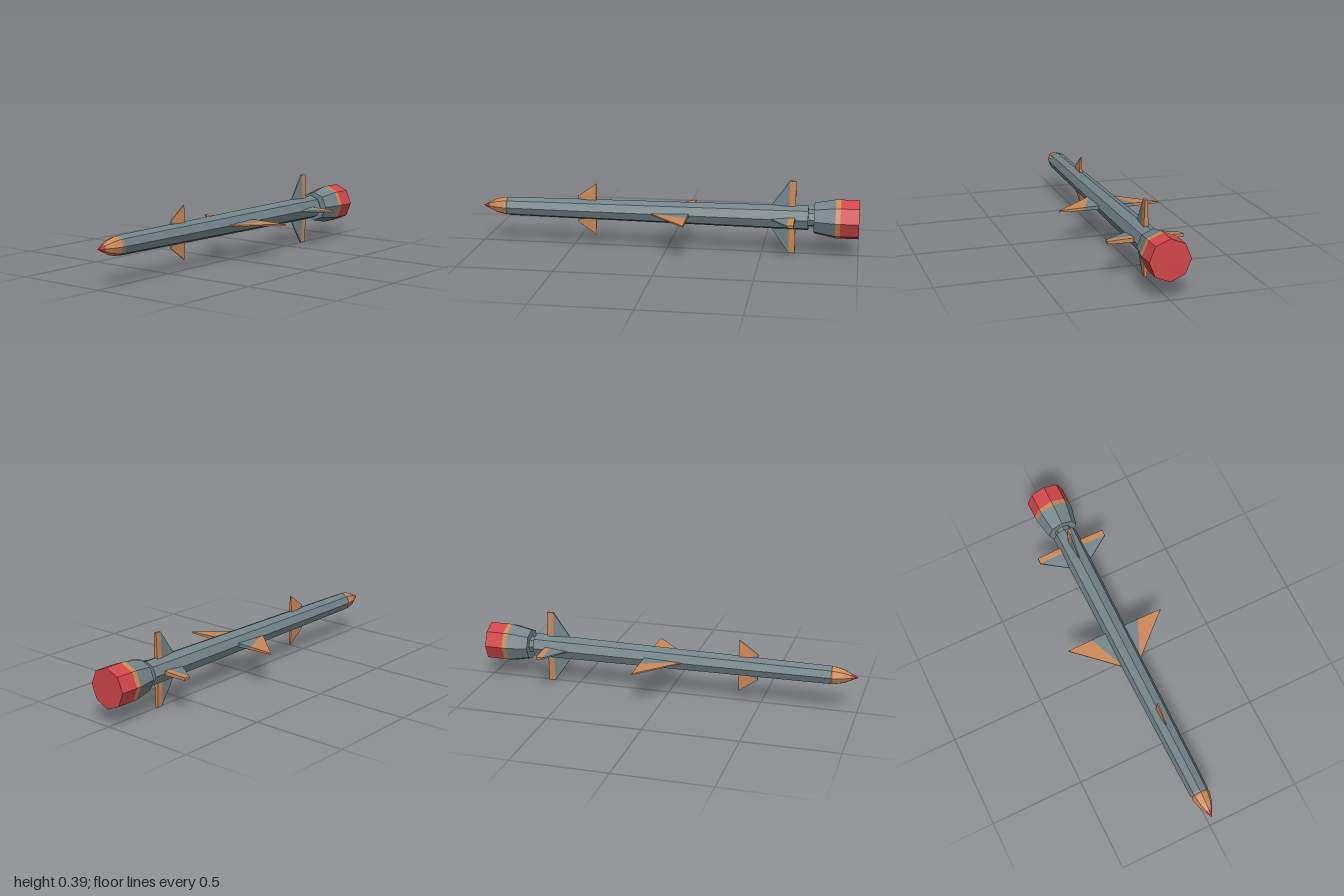
import * as THREE from 'three';

const material = (color) => new THREE.MeshStandardMaterial({ color, flatShading: true });
const grey = material(0x74858a);
const orange = material(0xcb8957);
const red = material(0xd2474a);

// Octagonal section along z; profile is [z, radius] from back to front.
function section(name, mat, profile) {
  const points = profile.map(([z, r]) => new THREE.Vector2(r, z));
  const geometry = new THREE.LatheGeometry(points, 8).rotateX(Math.PI / 2);
  const mesh = new THREE.Mesh(geometry, mat);
  mesh.name = name;
  return mesh;
}

// Thin tapered plate; each corner is [z, radius, half thickness],
// listed counter-clockwise as seen from +x.
function plate(name, mat, corners) {
  const pos = [];
  const put = (i, side) => {
    const [z, r, t] = corners[i];
    pos.push(side * t, r, z);
  };
  const n = corners.length;
  for (let i = 1; i < n - 1; i++) {
    [0, i, i + 1].forEach((k) => put(k, 1));
    [0, i + 1, i].forEach((k) => put(k, -1));
  }
  for (let i = 0; i < n; i++) {
    const j = (i + 1) % n;
    put(i, -1); put(j, -1); put(j, 1);
    put(i, -1); put(j, 1); put(i, 1);
  }
  const geometry = new THREE.BufferGeometry();
  geometry.setAttribute('position', new THREE.Float32BufferAttribute(pos, 3));
  geometry.computeVertexNormals();
  const mesh = new THREE.Mesh(geometry, mat);
  mesh.name = name;
  return mesh;
}

// A fin has a grey root and an orange outer part, turned around the body axis.
function fin(name, angle, root, tip) {
  const group = new THREE.Group();
  group.name = name;
  group.add(plate(name + 'Root', grey, root), plate(name + 'Tip', orange, tip));
  group.rotation.z = angle;
  return group;
}

export function createModel() {
  const model = new THREE.Group();
  model.name = 'missile';

  // Body, from nose to tail
  model.add(
    section('noseTip', red, [[0.96, 0.02], [1, 0]]),
    section('noseCone', orange, [[0.865, 0.046], [0.875, 0.049], [0.925, 0.037], [0.96, 0.02]]),
    section('body', grey, [[-0.74, 0], [-0.74, 0.066], [0.855, 0.05], [0.865, 0.046], [0.865, 0]]),
    section('neck', grey, [[-0.78, 0.045], [-0.73, 0.045]]),
    section('booster', grey, [[-0.88, 0.104], [-0.77, 0.082], [-0.77, 0]]),
    section('boosterBand', orange, [[-0.905, 0.104], [-0.88, 0.104]]),
    section('boosterEnd', red, [[-1, 0], [-1, 0.104], [-0.905, 0.104]]),
  );

  // Two small vertical fins near the nose
  for (const angle of [0, Math.PI]) {
    model.add(fin('frontFin', angle,
      [[0.48, 0.04, 0.003], [0.41, 0.04, 0.008], [0.48, 0.07, 0.002]],
      [[0.41, 0.04, 0.008], [0.38, 0.04, 0.009], [0.38, 0.14, 0.003], [0.48, 0.07, 0.002]]));
  }

  // Two wide swept wings at mid-length
  for (const angle of [-Math.PI / 2, Math.PI / 2]) {
    model.add(fin('wing', angle,
      [[0.09, 0.045, 0.003], [-0.12, 0.045, 0.011], [-0.12, 0.135, 0.008]],
      [[0.09, 0.045, 0.003], [-0.12, 0.135, 0.008], [-0.12, 0.272, 0.004]]));
  }

  // Four tail fins with a full-span trailing flap
  for (let i = 0; i < 4; i++) {
    model.add(fin('tailFin', (i * Math.PI) / 2,
      [[-0.54, 0.05, 0.002], [-0.64, 0.05, 0.012], [-0.64, 0.193, 0.005]],
      [[-0.64, 0.05, 0.012], [-0.673, 0.05, 0.012], [-0.673, 0.193, 0.007], [-0.64, 0.193, 0.005]]));
  }

  model.position.y = 0.193;
  const root = new THREE.Group();
  root.add(model);
  return root;
}
